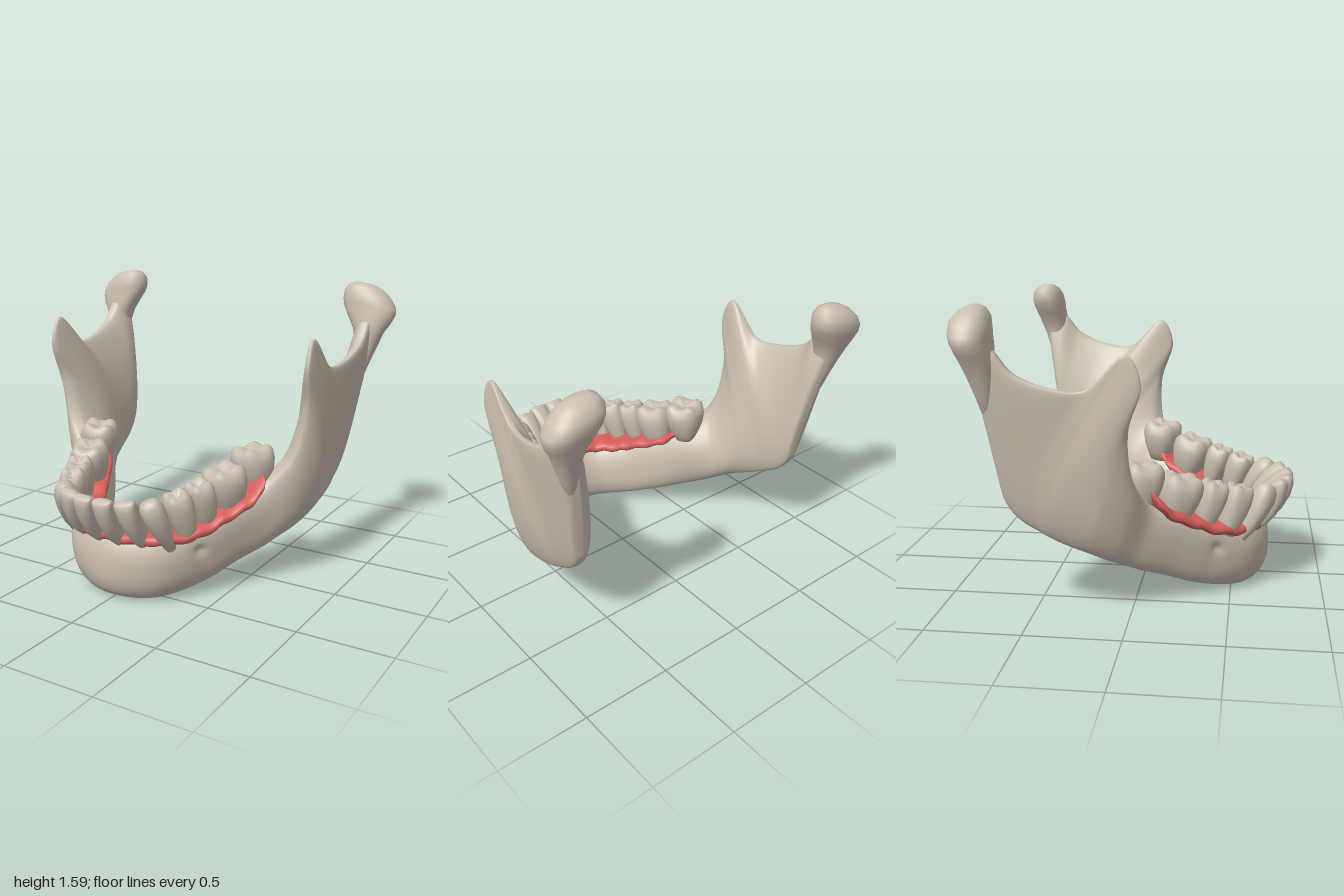
import * as THREE from 'three';

const V = (x, y, z) => new THREE.Vector3(x, y, z);
const mat = (name, color) => {
  const m = new THREE.MeshStandardMaterial({ color });
  m.name = name;
  return m;
};
const sgnPow = (v, e) => Math.sign(v) * Math.abs(v) ** e;

// Smooth skin over a list of closed rings, always wound outwards
function loft(rings) {
  const n = rings[0].length, pts = rings.flat(), idx = [];
  for (let i = 0; i < rings.length - 1; i++) {
    for (let j = 0; j < n; j++) {
      const k = (j + 1) % n, a = i * n + j, b = i * n + k;
      idx.push(a, b, b + n, a, b + n, a + n);
    }
  }
  let vol = 0;
  const c = V(0, 0, 0);
  for (let i = 0; i < idx.length; i += 3) {
    vol += pts[idx[i]].dot(c.crossVectors(pts[idx[i + 1]], pts[idx[i + 2]]));
  }
  if (vol < 0) idx.reverse();
  const g = new THREE.BufferGeometry().setFromPoints(pts);
  g.setIndex(idx);
  g.computeVertexNormals();
  return g;
}

// Curve mirrored across the middle, carrying a half thickness: points are [x, y, z, half]
function rail(half) {
  const all = [...half.slice(1).reverse().map(([x, ...r]) => [-x, ...r]), ...half];
  const curve = new THREE.CatmullRomCurve3(all.map(p => V(p[0], p[1], p[2])));
  return {
    at: t => curve.getPoint(t),
    side: t => {
      const d = curve.getTangent(t);
      return V(-d.z, 0, d.x).normalize();
    },
    half: t => {
      const f = t * (all.length - 1), i = Math.min(Math.floor(f), all.length - 2);
      return THREE.MathUtils.lerp(all[i][3], all[i + 1][3], f - i);
    },
  };
}

// Jawbone: sections between a lower, a middle and an upper rail, from chin to rear edge
function jawGeometry() {
  const low = rail([
    [0, .008, .58, .10], [.17, .006, .52, .09], [.34, .06, .33, .085], [.46, .145, .14, .085],
    [.57, .215, 0, .085], [.65, .28, -.12, .08], [.695, .335, -.22, .07], [.715, .38, -.32, .065],
    [.725, .42, -.4, .06], [.73, .455, -.46, .06], [.735, .49, -.52, .058], [.737, .53, -.57, .056],
    [.738, .58, -.61, .053], [.74, .64, -.64, .048]]);
  const mid = rail([
    [0, .18, .585, .12], [.2, .18, .52, .12], [.35, .23, .34, .1], [.46, .32, .16, .105],
    [.565, .4, 0, .11], [.66, .48, -.1, .122], [.72, .6, -.19, .12], [.75, .74, -.27, .1],
    [.76, .8, -.34, .085], [.765, .83, -.42, .078], [.772, .85, -.5, .073], [.778, .9, -.58, .069],
    [.782, .95, -.64, .064], [.786, 1, -.7, .055]]);
  const top = rail([
    [0, .37, .6, .09], [.19, .37, .56, .09], [.34, .4, .41, .1], [.45, .49, .23, .1],
    [.55, .57, .06, .105], [.7, .73, 0, .08], [.785, 1, 0, .05], [.82, 1.23, .07, .035],
    [.82, 1.37, 0, .025], [.83, 1.2, -.2, .03], [.85, 1.205, -.35, .035], [.86, 1.28, -.54, .05],
    [.86, 1.4, -.65, .06], [.86, 1.42, -.775, .05]]);
  const rings = [], N = 260, S = 72;
  for (let i = 0; i <= N; i++) {
    const t = i / N, e = Math.max(0, (Math.abs(2 * t - 1) - .96) / .04);
    const taper = Math.sqrt(Math.max(0, 1 - e * e));
    const b = low.at(t), m = mid.at(t), p = top.at(t), side = mid.side(t), ring = [];
    for (let j = 0; j < S; j++) {
      const a = j / S * Math.PI * 2, u = sgnPow(Math.cos(a), .75);
      const wb = u * (u - 1) / 2, wm = 1 - u * u, wt = u * (u + 1) / 2;
      const h = (low.half(t) * wb + mid.half(t) * wm + top.half(t) * wt) * taper;
      const q = V(0, 0, 0).addScaledVector(b, wb).addScaledVector(m, wm).addScaledVector(p, wt);
      const w = sgnPow(Math.sin(a), .55);
      q.addScaledVector(side, h * w);
      // small nerve opening on each outer face
      const d2 = (Math.abs(q.x) - .43) ** 2 + (q.y - .28) ** 2 + (q.z - .44) ** 2;
      q.addScaledVector(side, -.03 * Math.sign(w) * Math.exp(-d2 / .0007));
      ring.push(q);
    }
    rings.push(ring);
  }
  return loft(rings);
}

// Joint head on top of the rear neck: [y, centre x, half x, centre z, half z]
function condyleGeometry(s) {
  const prof = [
    [1.06, .82, 0, -.675, 0], [1.08, .825, .03, -.675, .03], [1.18, .838, .052, -.685, .05],
    [1.26, .855, .065, -.695, .065], [1.33, .858, .086, -.708, .08], [1.39, .856, .122, -.722, .09],
    [1.44, .85, .148, -.736, .095], [1.48, .845, .152, -.742, .098], [1.53, .83, .133, -.744, .094],
    [1.57, .82, .1, -.738, .066], [1.588, .815, .06, -.734, .035], [1.592, .815, 0, -.732, 0]];
  return loft(prof.map(([y, cx, rx, cz, rz]) => Array.from({ length: 32 }, (_, j) => {
    const a = j / 32 * Math.PI * 2, x = rx * sgnPow(Math.cos(a), .85);
    return V(s * (cx + x), y - x * .16, cz + rz * sgnPow(Math.sin(a), .85));
  })));
}

// Gum: flattened band with a scalloped rim along the tooth row
function gumGeometry() {
  const r = rail([[0, .362, .6, .098], [.19, .362, .56, .102], [.33, .378, .44, .112],
    [.42, .44, .29, .118], [.505, .52, .145, .128], [.555, .63, .06, .13]]);
  const rings = [], N = 160;
  for (let i = 0; i <= N; i++) {
    const t = i / N, end = Math.sqrt(Math.max(0, 1 - Math.abs(2 * t - 1) ** 24));
    const p = r.at(t), side = r.side(t);
    p.y += .005 * Math.cos((2 * t - 1) * 44);
    rings.push(Array.from({ length: 28 }, (_, j) => {
      const a = j / 28 * Math.PI * 2;
      return p.clone().addScaledVector(side, r.half(t) * end * sgnPow(Math.cos(a), .6))
        .add(V(0, .034 * end * sgnPow(Math.sin(a), .8), 0));
    }));
  }
  return loft(rings);
}

// Tooth profiles from root to crown: [height, width, depth]
const PROFILES = {
  incisor: [[-.1, 0, 0], [-.08, .4, .5], [.15, .62, .85], [.4, .82, 1], [.7, .97, .9],
    [.9, 1, .6], [.98, .98, .38], [1, .85, .2], [1, 0, 0]],
  canine: [[-.1, 0, 0], [-.08, .45, .5], [.2, .68, .85], [.5, .9, 1], [.75, 1, .95],
    [.9, .9, .7], [.98, .6, .4], [1, 0, 0]],
  molar: [[-.1, 0, 0], [-.08, .55, .6], [.15, .72, .8], [.4, .9, .94], [.65, 1, 1],
    [.83, .97, .93], [.94, .82, .77], [.97, .62, .57], [.92, .36, .33], [.88, .15, .14], [.87, 0, 0]],
};

// [name, profile, root, crown, row direction (x, z), half width, half depth, cusp height]
const TEETH = [
  ['centralIncisor', 'incisor', [.06, .35, .645], [.06, .6, .815], [1, -.08], .057, .072, 0],
  ['lateralIncisor', 'incisor', [.18, .35, .615], [.172, .6, .78], [.95, -.3], .058, .072, 0],
  ['canine', 'canine', [.3, .335, .555], [.266, .605, .705], [.75, -.65], .064, .07, 0],
  ['firstPremolar', 'molar', [.36, .37, .475], [.33, .62, .55], [.55, -.83], .077, .08, .009],
  ['secondPremolar', 'molar', [.405, .42, .355], [.385, .65, .42], [.45, -.9], .076, .083, .01],
  ['firstMolar', 'molar', [.455, .46, .2], [.44, .695, .25], [.4, -.92], .116, .112, .013],
  ['secondMolar', 'molar', [.525, .55, .03], [.505, .77, .045], [.4, -.92], .112, .112, .014],
];

function toothGeometry([, kind, root, crown, dir, w, d, cusp], s) {
  const a = V(s * root[0], root[1], root[2]), b = V(s * crown[0], crown[1], crown[2]);
  const axis = b.clone().sub(a), up = axis.clone().normalize();
  const out = V(s * dir[0], 0, dir[1]).cross(up).normalize();
  const along = up.clone().cross(out).normalize();
  return loft(PROFILES[kind].map(([h, pw, pd]) => Array.from({ length: 28 }, (_, j) => {
    const t = j / 28 * Math.PI * 2;
    const bump = h > .8 ? -cusp * Math.cos(4 * t) * pw : 0;
    return a.clone().addScaledVector(axis, h).addScaledVector(up, bump)
      .addScaledVector(along, w * pw * sgnPow(Math.cos(t), .8))
      .addScaledVector(out, d * pd * sgnPow(Math.sin(t), .8));
  })));
}

export function createModel() {
  const bone = mat('bone', 0xcabfb0), enamel = mat('enamel', 0xc8beb0), gum = mat('gum', 0xd4605b);
  const model = new THREE.Group();
  model.name = 'lowerJaw';
  const add = (name, geo, material) => {
    const m = new THREE.Mesh(geo, material);
    m.name = name;
    model.add(m);
  };
  add('jawbone', jawGeometry(), bone);
  add('gums', gumGeometry(), gum);
  for (const [side, s] of [['left', 1], ['right', -1]]) {
    add(side + 'Condyle', condyleGeometry(s), bone);
    for (const tooth of TEETH) add(side + '_' + tooth[0], toothGeometry(tooth, s), enamel);
  }
  return model;
}
